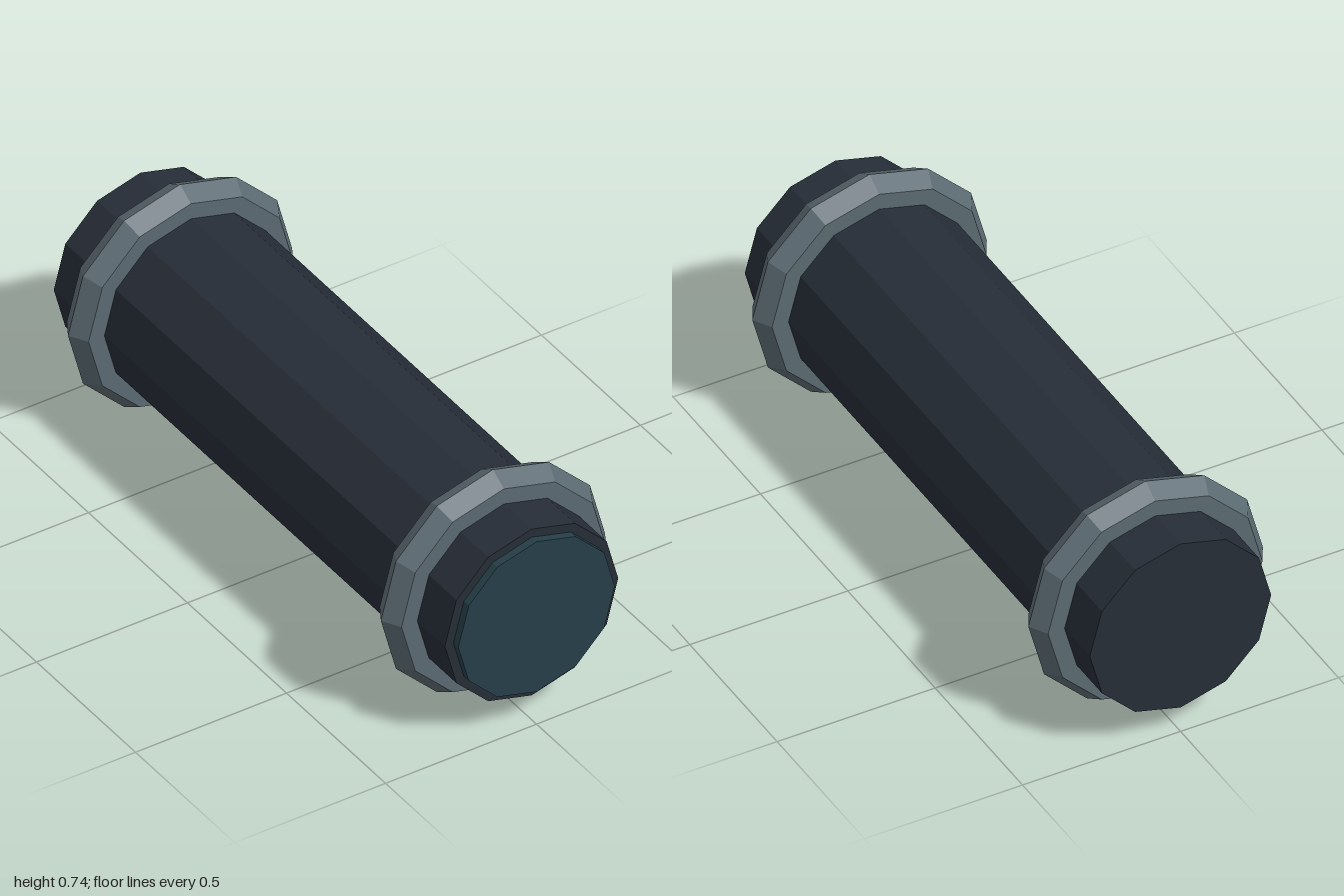
import * as THREE from 'three';

const AXIS_Y = 0.371;
const SIDES = 12;

function material(color) {
  return new THREE.MeshStandardMaterial({ color, flatShading: true });
}

export function createModel() {
  const group = new THREE.Group();
  const add = (name, geometry, mat, z) => {
    const mesh = new THREE.Mesh(geometry, mat);
    mesh.name = name;
    mesh.position.set(0, AXIS_Y, z);
    group.add(mesh);
  };
  // Twelve-sided cylinder lying along z
  const rod = (radius, length) =>
    new THREE.CylinderGeometry(radius, radius, length, SIDES).rotateX(Math.PI / 2);

  // Main tube
  add('tubeBody', rod(0.287, 1.975), material(0x262d37), -0.0125);

  // Disc standing slightly proud of the front end
  add('frontLens', rod(0.259, 0.05), material(0x253e48), 0.975);

  // Hexagonal-section collars near both ends
  const collar = new THREE.TorusGeometry(0.307, 0.064, 6, SIDES);
  const collarMaterial = material(0x5b6a72);
  add('frontCollar', collar, collarMaterial, 0.78);
  add('rearCollar', collar, collarMaterial, -0.8);

  return group;
}
